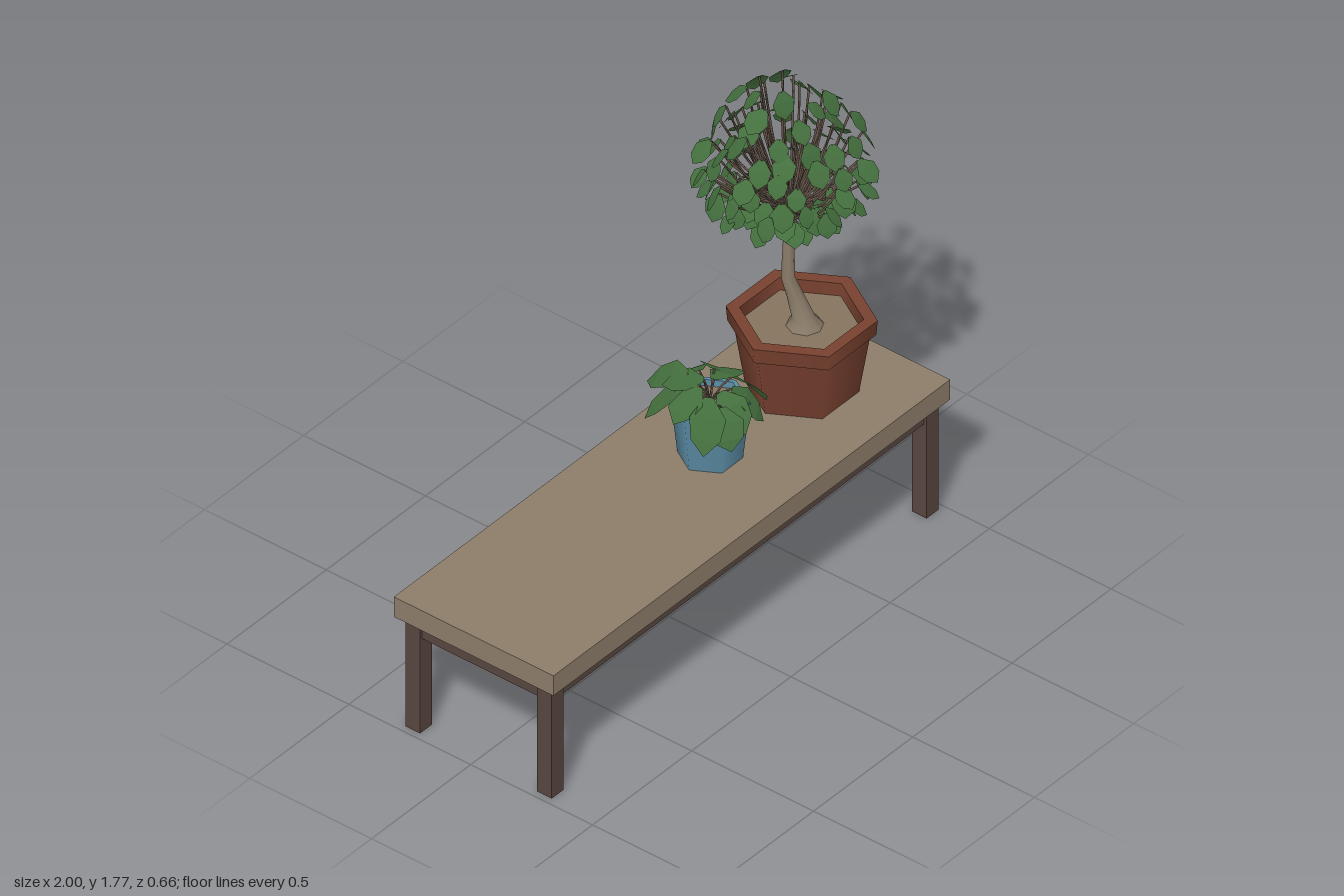
import * as THREE from 'three';
import { mergeGeometries } from 'three/addons/utils/BufferGeometryUtils.js';

const mat = (name, color, side = THREE.FrontSide) => {
  const m = new THREE.MeshStandardMaterial({ color, side });
  m.name = name;
  return m;
};

// Small seeded random generator
function seeded(seed) {
  let s = seed;
  return () => {
    s = (s * 16807) % 2147483647;
    return s / 2147483647;
  };
}

// Six-sided leaf along +z, facing +y, drooping towards the tip
function leafGeometry(base, dir, side, length, width, droop) {
  const p = [[0.12, 0], [-0.12, 0], [0.5, 0.38], [-0.5, 0.38], [0.4, 0.75], [-0.4, 0.75], [0, 1]];
  const faces = [0, 1, 2, 1, 3, 2, 2, 3, 4, 3, 5, 4, 4, 5, 6];
  const pos = [];
  for (const i of faces) pos.push(p[i][0] * width, -droop * length * p[i][1] ** 2, p[i][1] * length);
  const g = new THREE.BufferGeometry();
  g.setAttribute('position', new THREE.Float32BufferAttribute(pos, 3));
  const d = dir.clone().normalize();
  const up = new THREE.Vector3().crossVectors(d, side).normalize();
  const x = new THREE.Vector3().crossVectors(up, d);
  g.applyMatrix4(new THREE.Matrix4().makeBasis(x, up, d).setPosition(base));
  g.computeVertexNormals();
  return g;
}

// Thin stem from a to b bowed through a middle point
function stemGeometry(a, mid, b, r) {
  return new THREE.TubeGeometry(new THREE.QuadraticBezierCurve3(a, mid, b), 3, r, 3);
}

// Hexagonal pot: each pair of profile points is its own smooth band, keeping the rims sharp
function pot(name, profile, material, x, z) {
  const bands = [];
  for (let i = 0; i < profile.length - 1; i++) {
    const pair = [profile[i], profile[i + 1]].map(([r, y]) => new THREE.Vector2(r, y));
    bands.push(new THREE.LatheGeometry(pair, 6, Math.PI / 2));
  }
  const m = new THREE.Mesh(mergeGeometries(bands), material);
  m.name = name;
  m.position.set(x, 0, z);
  return m;
}

function soil(name, r, y, material, x, z) {
  const m = new THREE.Mesh(new THREE.CircleGeometry(r, 6).rotateX(-Math.PI / 2), material);
  m.name = name;
  m.position.set(x, y, z);
  return m;
}

// Tapered trunk built from round cross-sections [x, y, z, radius]
function trunkGeometry(rings, n = 8) {
  const pos = [], idx = [];
  rings.forEach(([x, y, z, r], k) => {
    for (let i = 0; i < n; i++) {
      const a = (i / n) * Math.PI * 2;
      pos.push(x + Math.cos(a) * r, y, z + Math.sin(a) * r);
      if (k) {
        const j = (i + 1) % n, lo = (k - 1) * n, hi = k * n;
        idx.push(lo + i, hi + i, lo + j, lo + j, hi + i, hi + j);
      }
    }
  });
  const g = new THREE.BufferGeometry();
  g.setAttribute('position', new THREE.Float32BufferAttribute(pos, 3));
  g.setIndex(idx);
  g.computeVertexNormals();
  return g;
}

export function createModel() {
  const root = new THREE.Group();
  root.name = 'benchWithPlants';
  const wood = mat('topWood', 0x8c7d69);
  const darkWood = mat('frameWood', 0x57463f);
  const clay = mat('terracotta', 0x78412f);
  const blue = mat('blueGlaze', 0x5b8ca5);
  const bark = mat('bark', 0x8c7d6a);
  const twig = mat('twig', 0x6e5c50);
  const earth = mat('soil', 0x85745f);
  const green = mat('leafGreen', 0x446f3e, THREE.DoubleSide);
  const V = (x, y, z) => new THREE.Vector3(x, y, z);

  const add = (parent, name, geo, material) => {
    const m = new THREE.Mesh(geo, material);
    m.name = name;
    parent.add(m);
    return m;
  };

  // Bench
  const bench = new THREE.Group();
  bench.name = 'bench';
  bench.position.z = 0.012;
  root.add(bench);
  add(bench, 'benchTop', new THREE.BoxGeometry(2, 0.08, 0.655), wood).position.y = 0.48;
  add(bench, 'apron', new THREE.BoxGeometry(1.93, 0.068, 0.58), darkWood).position.y = 0.408;
  for (const sx of [-1, 1]) for (const sz of [-1, 1]) {
    add(bench, (sz > 0 ? 'front' : 'back') + (sx > 0 ? 'Left' : 'Right') + 'Leg',
      new THREE.BoxGeometry(0.06, 0.44, 0.06), darkWood).position.set(sx * 0.945, 0.22, sz * 0.27);
  }

  // Potted tree
  const tree = new THREE.Group();
  tree.name = 'pottedTree';
  root.add(tree);
  const tx = 0.675, tz = -0.005;
  tree.add(pot('largePot', [[0, 0.521], [0.185, 0.521], [0.222, 0.755], [0.24, 0.755],
    [0.245, 0.812], [0.2, 0.812], [0.195, 0.75]], clay, tx, tz));
  tree.add(soil('largePotSoil', 0.197, 0.765, earth, tx, tz));
  add(tree, 'trunk', trunkGeometry([[0.685, 0.76, 0, 0.065], [0.678, 0.8, 0, 0.038],
    [0.662, 0.88, -0.018, 0.029], [0.646, 0.96, -0.038, 0.023], [0.646, 1.08, -0.036, 0.019],
    [0.645, 1.2, -0.032, 0.017], [0.645, 1.27, -0.03, 0.008]]), bark);

  // Crown: twigs spread from the trunk top, each ending in a drooping leaf
  const rnd = seeded(4271);
  const twigs = [], leaves = [];
  const count = 125;
  for (let i = 0; i < count; i++) {
    const t = (i + 0.5) / count;
    const ny = -0.9 + 1.88 * t ** 1.25;
    const az = i * 2.39996 + rnd() * 0.4;
    const h = V(Math.cos(az), 0, Math.sin(az));
    const f = 0.6 + 0.4 * Math.sqrt(rnd());
    const ring = Math.sqrt(1 - ny * ny) * f;
    const tip = V(0.625 + h.x * ring * 0.265, 1.44 + ny * f * (ny > 0 ? 0.34 : 0.18), -0.03 + h.z * ring * 0.26);
    const hub = V(0.645, 1.19 + rnd() * 0.07, -0.031);
    const mid = hub.clone().lerp(tip, 0.55).add(V(h.x * 0.03, -0.02, h.z * 0.03));
    twigs.push(stemGeometry(hub, mid, tip, 0.0045));
    const yaw = az + (rnd() - 0.5) * 1.6;
    const out = V(Math.cos(yaw), 0, Math.sin(yaw));
    const dir = out.clone().multiplyScalar(0.3 + rnd() * 0.5).add(V(0, -0.3 - rnd() * 0.6, 0));
    const side = V(out.z, (rnd() - 0.5) * 0.6, -out.x);
    const size = 0.075 + rnd() * 0.025;
    leaves.push(leafGeometry(tip, dir, side, size, size * 0.84, 0.15));
  }
  add(tree, 'twigs', mergeGeometries(twigs), twig);
  add(tree, 'treeLeaves', mergeGeometries(leaves), green);

  // Small potted plant
  const plant = new THREE.Group();
  plant.name = 'smallPlant';
  root.add(plant);
  const px = 0.213, pz = -0.005;
  plant.add(pot('smallPot', [[0, 0.521], [0.106, 0.521], [0.13, 0.742], [0.115, 0.742],
    [0.112, 0.71]], blue, px, pz));
  plant.add(soil('smallPotSoil', 0.113, 0.718, earth, px, pz));

  // Broad leaves: [angle, start radius, start height, slope, length]
  const broad = [
    [0.35, 0.08, 0.8, -0.55, 0.17], [1.0, 0.07, 0.79, -0.6, 0.15], [1.75, 0.05, 0.8, -0.5, 0.15],
    [2.5, 0.08, 0.81, -0.6, 0.18], [3.2, 0.05, 0.82, -0.25, 0.14], [3.8, 0.08, 0.81, -0.3, 0.16],
    [4.45, 0.08, 0.82, -0.2, 0.16], [5.1, 0.07, 0.81, -0.35, 0.16], [5.8, 0.07, 0.81, -0.4, 0.15],
    [0.0, 0.02, 0.81, 0.1, 0.12], [4.1, 0.02, 0.82, 0.12, 0.13], [2.1, 0.1, 0.78, -0.9, 0.14],
  ];
  const stems = [], blades = [];
  broad.forEach(([a, r, y, slope, len], i) => {
    const h = V(Math.cos(a), 0, Math.sin(a));
    const base = V(px + h.x * r, y, pz + h.z * r);
    stems.push(stemGeometry(V(px, 0.715, pz), V(px + h.x * r * 0.4, y - 0.01, pz + h.z * r * 0.4), base, 0.004));
    const side = V(h.z, (i % 3 - 1) * 0.25, -h.x);
    blades.push(leafGeometry(base, V(h.x, slope, h.z), side, len, 0.12, 0.35));
  });
  add(plant, 'smallPlantStems', mergeGeometries(stems), twig);
  add(plant, 'broadLeaves', mergeGeometries(blades), green);

  return root;
}
